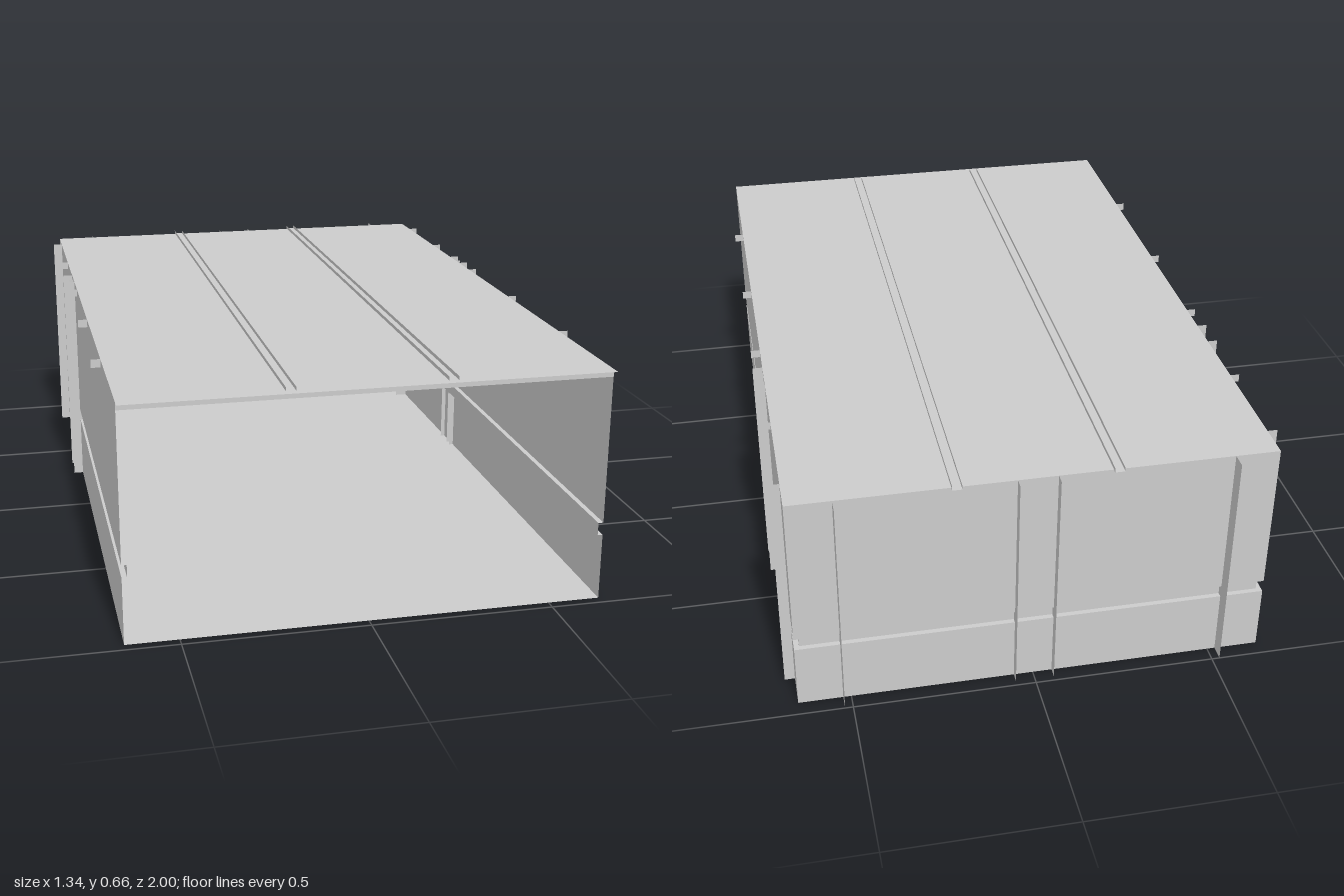
import * as THREE from 'three';

const W = 0.643, H = 0.648, FRONT = 0.973, BACK = -0.957;

export function createModel() {
  const group = new THREE.Group();
  const mat = new THREE.MeshStandardMaterial({ color: 0xcccccc, side: THREE.DoubleSide, flatShading: true });

  function add(name, positions) {
    const g = new THREE.BufferGeometry();
    g.setAttribute('position', new THREE.Float32BufferAttribute(positions, 3));
    g.computeVertexNormals();
    const mesh = new THREE.Mesh(g, mat);
    mesh.name = name;
    group.add(mesh);
  }
  // four corners, counter-clockwise from the front
  const quad = (a, b, c, d) => [a, b, c, a, c, d].flat();
  // sheets facing along one axis
  const sheetX = (x, y0, y1, z0, z1) => quad([x, y0, z1], [x, y0, z0], [x, y1, z0], [x, y1, z1]);
  const sheetY = (y, x0, x1, z0, z1) => quad([x0, y, z1], [x1, y, z1], [x1, y, z0], [x0, y, z0]);
  const sheetZ = (z, x0, x1, y0, y1) => quad([x0, y0, z], [x1, y0, z], [x1, y1, z], [x0, y1, z]);

  // three walls: a profile with a recessed band, swept round the open plan
  const profile = [[0, 0], [0, 0.185], [0.014, 0.185], [0.014, 0.22], [0, 0.22], [0, H]];
  const plan = ([inset, y]) => [
    [W - inset, y, FRONT], [W - inset, y, BACK + inset],
    [-W + inset, y, BACK + inset], [-W + inset, y, FRONT],
  ];
  const walls = [];
  for (let i = 0; i < profile.length - 1; i++) {
    const low = plan(profile[i]), high = plan(profile[i + 1]);
    for (let j = 0; j < 3; j++) walls.push(...quad(low[j], low[j + 1], high[j + 1], high[j]));
  }
  add('walls', walls);

  // floor faces down, roof faces up
  add('floor', quad([-W, 0, BACK], [W, 0, BACK], [W, 0, FRONT], [-W, 0, FRONT]));
  add('roof', sheetY(H, -W, W, BACK, FRONT));

  // lip over the open front
  add('frontLip', sheetY(H, -W, W, FRONT, 0.998));
  add('frontHeader', sheetZ(0.975, -W, W, 0.628, H));

  for (const s of [-1, 1]) {
    // pair of upright fins along the roof, with a small end tab
    for (const dx of [-0.013, 0.013]) {
      add('roofRail', sheetX(s * 0.21 + dx, 0.645, 0.658, -0.968, 0.978));
    }
    add('roofRailTab', sheetY(H, s * 0.21 - 0.013, s * 0.21 + 0.013, -0.97, BACK));

    // fins on the side walls
    const span = (a, b) => [Math.min(s * a, s * b), Math.max(s * a, s * b)];
    add('cornerSideFin', sheetZ(-0.86, ...span(0.605, 0.671), 0, H));
    for (const z of [-0.28, -0.375]) add('sideFin', sheetZ(z, ...span(0.63, 0.671), 0, H));
    add('sideSeam', quad([s * 0.63, 0, -0.308], [s * 0.657, 0, -0.314],
      [s * 0.657, H, -0.314], [s * 0.63, H, -0.308]));

    // small tabs under the roof edge
    for (const z of [0.6, 0.19, -0.18, -0.57]) add('roofTab', sheetZ(z, ...span(W, 0.669), 0.625, H));

    // fins on the back wall and flat backing inside
    add('outerBackFin', sheetX(s * 0.522, 0, H, -1, -0.94));
    add('middleBackFin', sheetX(s * 0.053, 0, H, -0.985, -0.94));
    add('cornerBacking', sheetZ(-0.942, ...span(0.522, 0.605), 0, H));
  }
  add('middleBacking', sheetZ(-0.942, -0.053, 0.053, 0, H));

  return group;
}
